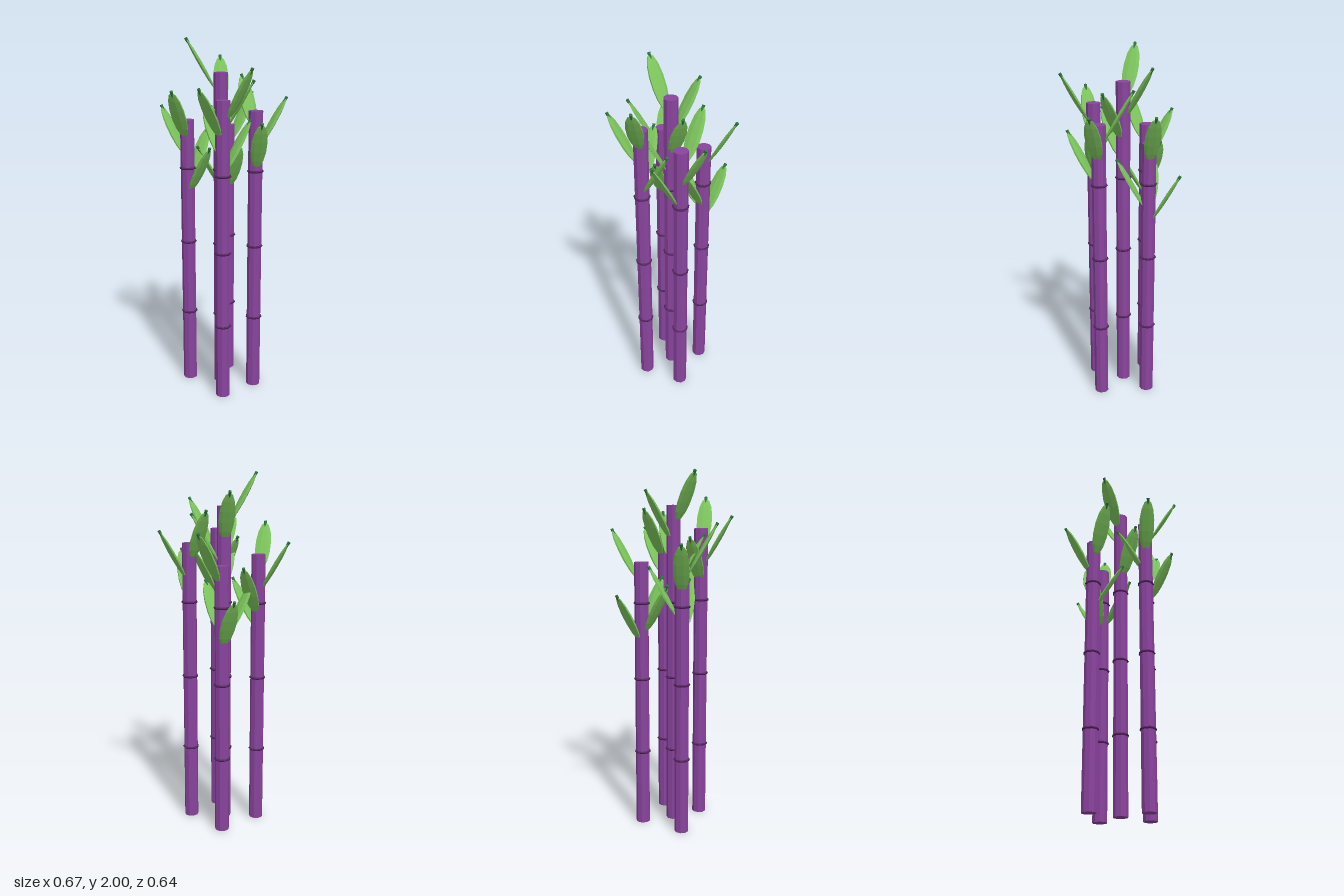
import * as THREE from 'three';

const SIDES = 9;
const RADIUS = 0.04;
const paint = (color) => new THREE.MeshStandardMaterial({ color, flatShading: true });

// Each stalk: position, height and leaf tips [x, y, z]
const STALKS = [
  { x: 0, z: 0.02, h: 1.82, tips: [[-0.13, 1.9, -0.095], [0.14, 1.78, -0.095], [-0.105, 2.0, 0.175], [0.085, 1.66, 0.17]] },
  { x: -0.105, z: -0.13, h: 1.515, tips: [[-0.255, 1.345, -0.215], [-0.09, 1.69, -0.31], [0.06, 1.42, -0.07], [-0.17, 1.4, 0.045]] },
  { x: 0.16, z: -0.09, h: 1.62, tips: [[-0.015, 1.8, -0.15], [0.24, 1.69, -0.245], [0.31, 1.575, 0.015]] },
  { x: -0.16, z: 0.125, h: 1.56, tips: [[-0.19, 1.5, -0.055], [-0.325, 1.63, 0.175], [-0.085, 1.73, 0.295], [0.01, 1.42, 0.11]] },
  { x: 0.14, z: 0.135, h: 1.69, tips: [[0.185, 1.58, -0.025], [0.325, 1.86, 0.105], [0.15, 1.76, 0.31], [-0.02, 1.65, 0.12]] },
];

export function createModel() {
  const model = new THREE.Group();
  const purple = paint(0x8a449e);
  const darkPurple = paint(0x54265f);
  const green = paint(0x7cc45c);
  const darkGreen = paint(0x2f7a3c);

  // Flat faceted blade along +y, ending just short of the origin
  const bladeGeo = new THREE.SphereGeometry(1, 7, 7);
  bladeGeo.scale(0.046, 0.148, 0.011);
  bladeGeo.translate(0, -0.156, 0);

  // Slender spike, widest at the leaf tip
  const spikeGeo = new THREE.ConeGeometry(0.009, 0.11, 8);
  spikeGeo.rotateX(Math.PI);
  spikeGeo.translate(0, -0.055, 0);

  const ringGeo = new THREE.TorusGeometry(RADIUS, 0.007, 5, SIDES);
  ringGeo.rotateX(Math.PI / 2);

  const add = (parent, name, geo, mat) => {
    const mesh = new THREE.Mesh(geo, mat);
    mesh.name = name;
    parent.add(mesh);
    return mesh;
  };

  for (const { x, z, h, tips } of STALKS) {
    const plant = new THREE.Group();
    plant.name = 'cane';
    model.add(plant);

    const stalk = add(plant, 'stalk', new THREE.CylinderGeometry(RADIUS, RADIUS, h, SIDES), purple);
    stalk.position.set(x, h / 2, z);

    // Joints along the stalk
    for (const y of [0.43, 0.86, 1.29]) {
      add(plant, 'joint', ringGeo, darkPurple).position.set(x, y, z);
    }

    // Leaves lean outward at about sixty degrees
    for (const [tx, ty, tz] of tips) {
      const leaf = new THREE.Group();
      leaf.name = 'leaf';
      leaf.position.set(tx, ty, tz);
      leaf.rotation.order = 'YXZ';
      leaf.rotation.y = Math.atan2(tx - x, tz - z);
      leaf.rotation.x = Math.PI / 6;
      add(leaf, 'blade', bladeGeo, green);
      add(leaf, 'spike', spikeGeo, darkGreen);
      plant.add(leaf);
    }
  }
  return model;
}
